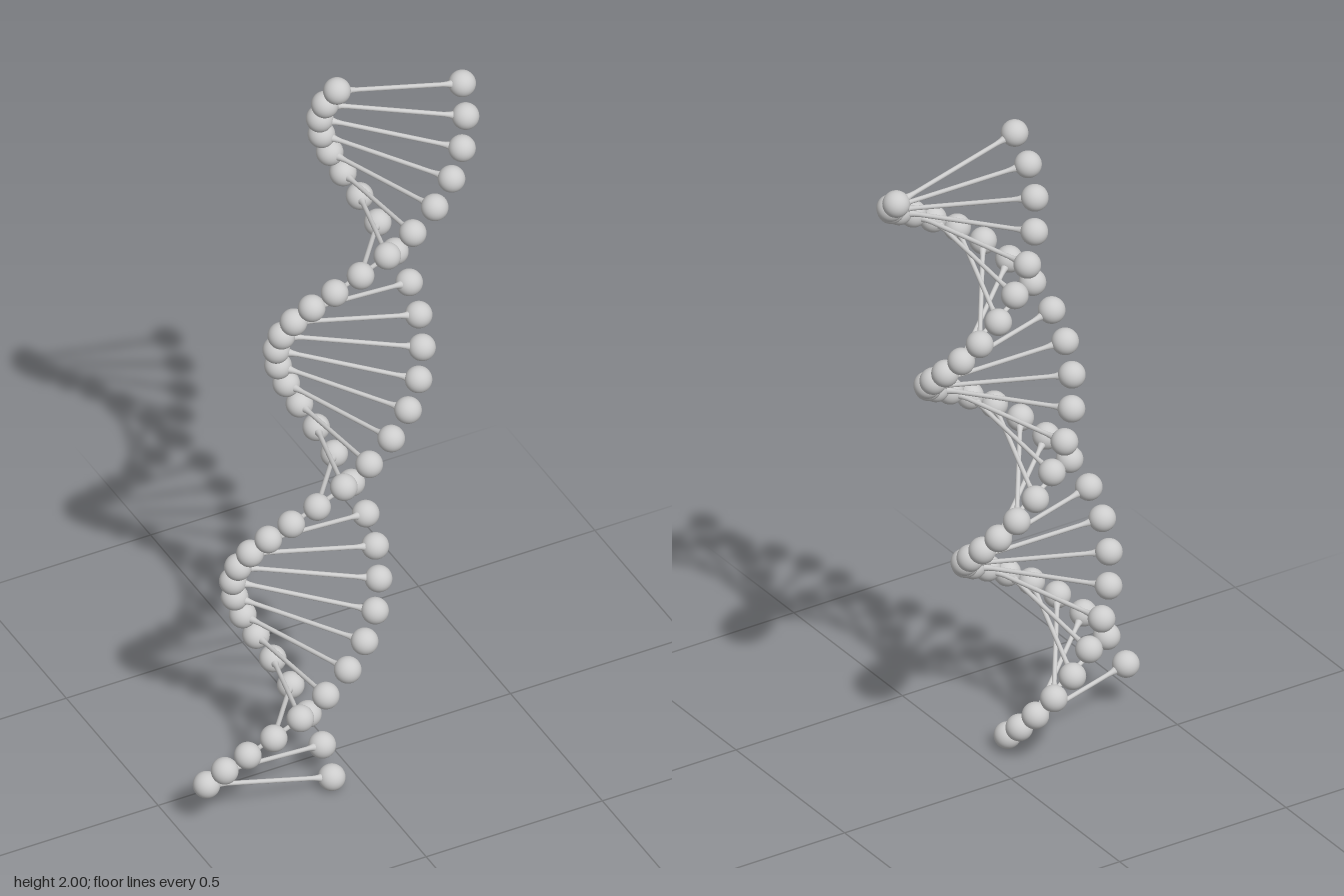
import * as THREE from 'three';

// Leaning double helix: 31 rungs, 18 degrees apart, with a ball at each end
export function createModel() {
  const group = new THREE.Group();
  group.name = 'doubleHelix';

  const grey = new THREE.MeshStandardMaterial({ color: 0xcccccc });
  grey.name = 'lightGrey';

  const rungs = 31, radius = 0.183;
  const top = new THREE.Vector3(0.256, 0.917, -0.136); // upper axis end, from the middle
  const middle = new THREE.Vector3(0, 1, 0);

  // Two directions across the axis
  const axis = top.clone().normalize();
  const u = new THREE.Vector3(-0.352, 0.098, -0.005);
  u.addScaledVector(axis, -u.dot(axis)).normalize();
  const v = new THREE.Vector3().crossVectors(u, axis);

  const ballGeometry = new THREE.SphereGeometry(0.035, 32, 20);
  // Thin rod that flares slightly where it meets the balls
  const rodGeometry = new THREE.LatheGeometry([
    [0.01, -0.15], [0.0075, -0.14], [0.006, -0.125],
    [0.006, 0.125], [0.0075, 0.14], [0.01, 0.15],
  ].map(([x, y]) => new THREE.Vector2(x, y)), 16);
  const up = new THREE.Vector3(0, 1, 0);

  for (let i = 0; i < rungs; i++) {
    const angle = i * Math.PI / 10;
    const centre = middle.clone().addScaledVector(top, 1 - 2 * i / (rungs - 1));
    const dir = u.clone().multiplyScalar(Math.cos(angle)).addScaledVector(v, Math.sin(angle));

    // Connecting rod
    const rod = new THREE.Mesh(rodGeometry, grey);
    rod.name = 'rung';
    rod.position.copy(centre);
    rod.quaternion.setFromUnitVectors(up, dir);
    group.add(rod);

    // Strand balls
    for (const side of [1, -1]) {
      const ball = new THREE.Mesh(ballGeometry, grey);
      ball.name = side > 0 ? 'firstStrandBall' : 'secondStrandBall';
      ball.position.copy(centre).addScaledVector(dir, side * radius);
      group.add(ball);
    }
  }
  return group;
}
